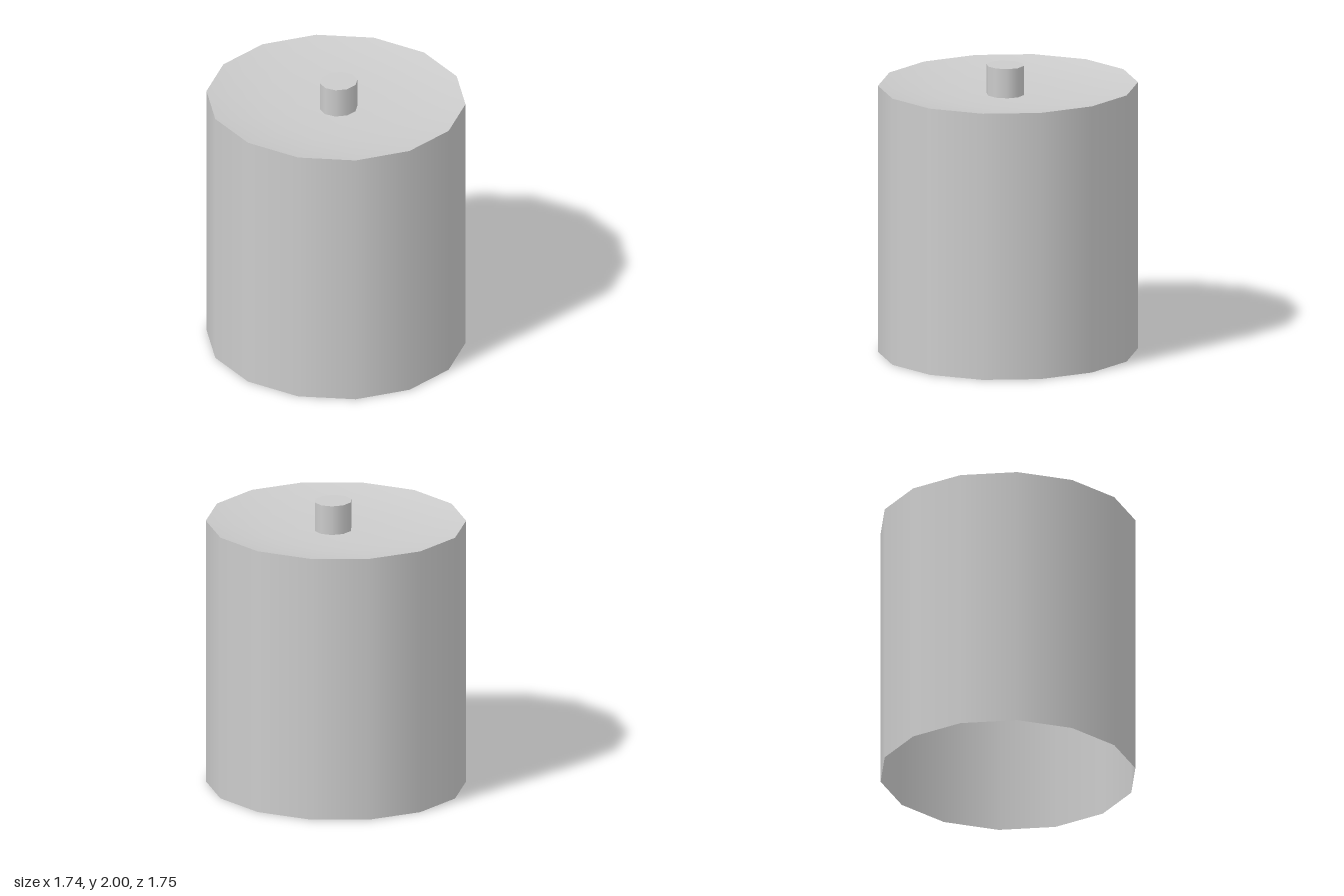
import * as THREE from 'three';

export function createModel() {
  const model = new THREE.Group();
  const open = new THREE.MeshStandardMaterial({ color: 0xcccccc, side: THREE.DoubleSide });
  const solid = new THREE.MeshStandardMaterial({ color: 0xcccccc });
  const START = Math.PI / 2; // puts a corner on the x axis
  const R = 0.868, RIM = 1.862, FLOOR = 1.795, DEPTH = 0.897 / R;

  function add(name, geometry, material) {
    const mesh = new THREE.Mesh(geometry, material);
    mesh.name = name;
    model.add(mesh);
    return mesh;
  }

  // Fourteen-sided wall, open at the bottom
  const wall = add('wall', new THREE.CylinderGeometry(R, R, RIM, 14, 1, true, START), open);
  wall.position.y = RIM / 2;
  wall.scale.z = DEPTH;

  // Shallow dished lid, from the rim to the centre
  const profile = [1, 0.85, 0.6, 0.3, 0].map(
    (t) => new THREE.Vector2(R * t, FLOOR + (RIM - FLOOR) * t ** 3));
  const lid = add('lid', new THREE.LatheGeometry(profile, 14, START), open);
  lid.scale.z = DEPTH;

  // Ten-sided knob, slightly off centre, standing in the dish
  const height = 2 - FLOOR;
  const knob = add('knob', new THREE.CylinderGeometry(0.133, 0.133, height, 10, 1, false, START), solid);
  knob.position.set(0, FLOOR + height / 2, 0.025);
  knob.scale.z = 0.126 / 0.133;

  return model;
}
